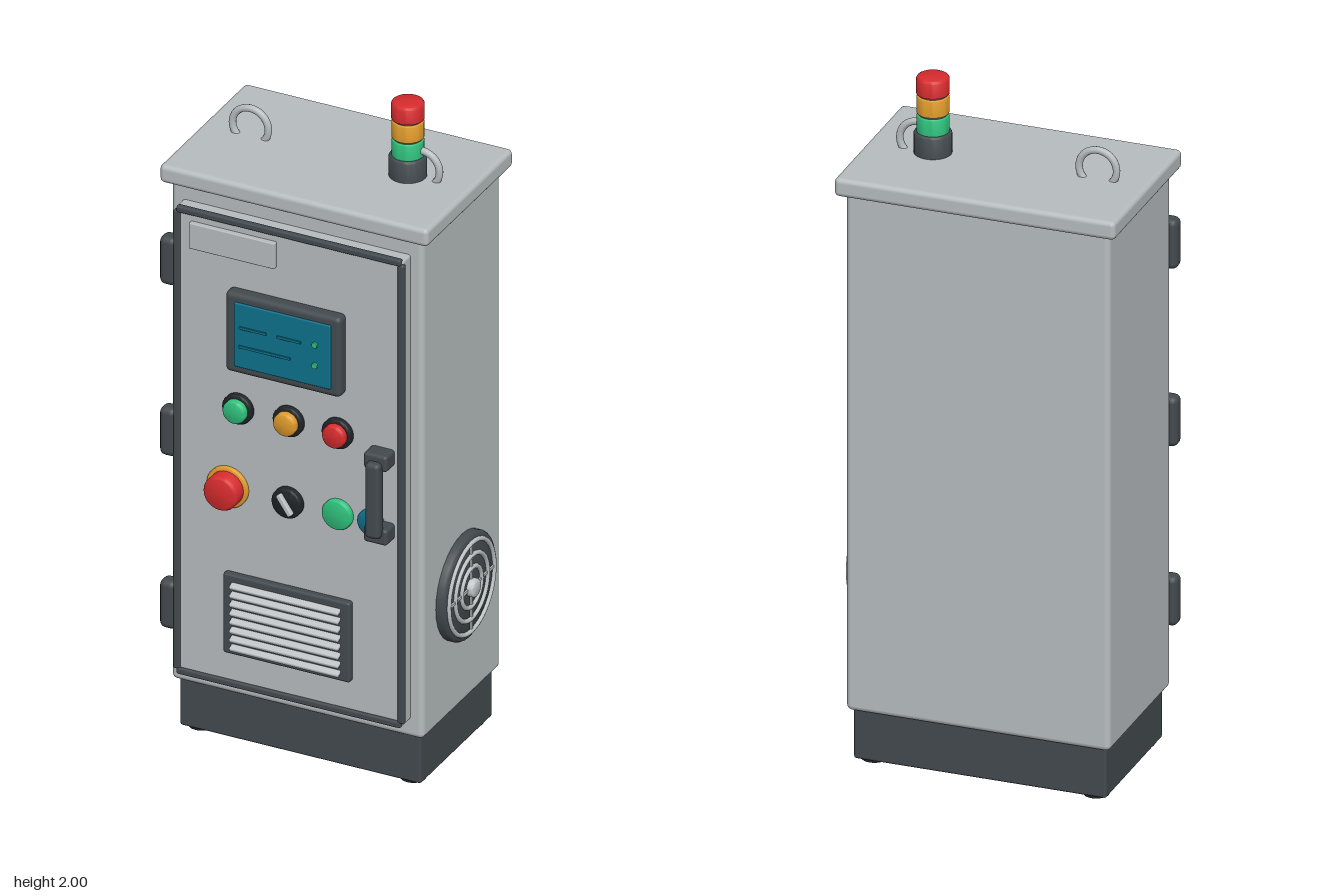
import * as THREE from 'three';
import { RoundedBoxGeometry } from 'three/addons/geometries/RoundedBoxGeometry.js';
import { toCreasedNormals } from 'three/addons/utils/BufferGeometryUtils.js';

const paint = (name, color) => {
  const m = new THREE.MeshStandardMaterial({ color });
  m.name = name;
  return m;
};

export function createModel() {
  const shell = paint('light grey enamel', 0xb7bdbf);
  const dark = paint('dark slate', 0x434a4e);
  const black = paint('black', 0x1f2326);
  const red = paint('red', 0xd62b2e);
  const amber = paint('amber', 0xdd9a2b);
  const green = paint('green', 0x2fc07c);
  const teal = paint('teal', 0x0e728c);
  const steel = paint('steel', 0xc0c4c6);

  const model = new THREE.Group();
  model.name = 'controlCabinet';

  const add = (name, geometry, material, parent = model) => {
    const mesh = new THREE.Mesh(geometry, material);
    mesh.name = name;
    parent.add(mesh);
    return mesh;
  };
  const section = (name) => {
    const g = new THREE.Group();
    g.name = name;
    model.add(g);
    return g;
  };
  // Rounded box given by its extents
  const box = (name, mat, [x0, x1], [y0, y1], [z0, z1], r, parent) => {
    const g = new RoundedBoxGeometry(x1 - x0, y1 - y0, z1 - z0, 2, r);
    g.translate((x0 + x1) / 2, (y0 + y1) / 2, (z0 + z1) / 2);
    return add(name, g, mat, parent);
  };
  // Chamfered disc along y, z or x, growing from its base point
  const disc = (name, mat, axis, pos, r, h, bevel, parent) => {
    const pts = [[0, 0], [r, 0], [r, h - bevel], [r - bevel * 0.35, h - bevel * 0.35], [r - bevel, h], [0, h]];
    let g = new THREE.LatheGeometry(pts.map((p) => new THREE.Vector2(...p)), 32);
    g = toCreasedNormals(g, 0.6);
    if (axis === 'z') g.rotateX(Math.PI / 2);
    if (axis === 'x') g.rotateZ(-Math.PI / 2);
    g.translate(...pos);
    return add(name, g, mat, parent);
  };

  // Housing
  box('plinth', dark, [-0.38, 0.36], [0.008, 0.17], [-0.262, 0.172], 0.008);
  box('body', shell, [-0.397, 0.376], [0.158, 1.725], [-0.28, 0.19], 0.016);
  box('roof', shell, [-0.423, 0.4], [1.715, 1.77], [-0.31, 0.212], 0.014);

  // Feet and cable entries under the plinth
  const underside = section('underside');
  for (const x of [-0.335, 0.315])
    for (const z of [-0.218, 0.128]) disc('foot', black, 'y', [x, 0, z], 0.036, 0.012, 0.001, underside);
  for (let i = 0; i < 4; i++)
    disc('cableEntry', black, 'y', [-0.243 + i * 0.155, 0.004, -0.03], 0.028, 0.006, 0.001, underside);

  // Door with raised seal
  const door = section('door');
  box('doorPanel', shell, [-0.36, 0.338], [0.215, 1.67], [0.185, 0.235], 0.008, door);
  for (const x of [-0.365, 0.323]) box('sealUpright', dark, [x, x + 0.02], [0.225, 1.66], [0.225, 0.243], 0.006, door);
  for (const y of [0.21, 1.655]) box('sealRail', dark, [-0.355, 0.333], [y, y + 0.02], [0.225, 0.244], 0.006, door);
  box('namePlate', shell, [-0.313, -0.05], [1.555, 1.635], [0.23, 0.25], 0.003, door);

  // Hinges
  for (const y of [0.41, 0.95, 1.485])
    box('hinge', dark, [-0.414, -0.363], [y - 0.075, y + 0.075], [0.185, 0.235], 0.018, door);

  // Display
  const display = section('display');
  box('bezel', dark, [-0.19, 0.165], [1.215, 1.465], [0.23, 0.275], 0.015, display);
  box('screen', teal, [-0.16, 0.137], [1.24, 1.44], [0.268, 0.28], 0.004, display);
  for (const [x0, x1, y] of [[-0.142, -0.058, 1.366], [-0.026, 0.047, 1.366], [-0.142, 0.015, 1.307]])
    box('readoutLine', teal, [x0, x1], [y - 0.004, y + 0.004], [0.278, 0.284], 0.001, display);
  for (const y of [1.37, 1.305]) disc('statusDot', green, 'z', [0.09, y, 0.277], 0.009, 0.009, 0.002, display);

  // Push buttons, lamps, selector and emergency stop
  const controls = section('controls');
  [[-0.165, green], [-0.01, amber], [0.14, red]].forEach(([x, mat]) => {
    disc('buttonCollar', black, 'z', [x, 1.087, 0.23], 0.046, 0.022, 0.005, controls);
    disc('buttonCap', mat, 'z', [x, 1.087, 0.245], 0.035, 0.027, 0.006, controls);
  });
  disc('stopCollar', amber, 'z', [-0.198, 0.833, 0.23], 0.063, 0.016, 0.003, controls);
  disc('stopButton', red, 'z', [-0.198, 0.833, 0.24], 0.052, 0.05, 0.008, controls);
  disc('selectorBase', black, 'z', [-0.012, 0.833, 0.23], 0.046, 0.025, 0.005, controls);
  const lever = add('selectorLever', new RoundedBoxGeometry(0.016, 0.068, 0.018, 2, 0.004), steel, controls);
  lever.position.set(-0.012, 0.833, 0.26);
  lever.rotation.z = 0.6;
  disc('greenLamp', green, 'z', [0.14, 0.833, 0.23], 0.046, 0.022, 0.006, controls);
  disc('blueLamp', teal, 'z', [0.242, 0.833, 0.23], 0.04, 0.02, 0.005, controls);

  // Door handle
  const handle = section('handle');
  for (const y of [0.82, 1.05]) box('handleMount', dark, [0.24, 0.313], [y - 0.025, y + 0.025], [0.23, 0.286], 0.01, handle);
  box('grip', dark, [0.254, 0.299], [0.82, 1.055], [0.27, 0.308], 0.013, handle);

  // Louvred vent
  const vent = section('vent');
  box('ventPanel', dark, [-0.206, 0.184], [0.32, 0.57], [0.23, 0.255], 0.008, vent);
  for (let i = 0; i < 8; i++) {
    const slat = add('slat', new RoundedBoxGeometry(0.335, 0.012, 0.022, 2, 0.004), steel, vent);
    slat.position.set(-0.011, 0.347 + i * 0.0275, 0.262);
    slat.rotation.x = 0.35;
  }

  // Side fan with guard rings and spokes
  const fan = section('fan');
  disc('fanHousing', dark, 'x', [0.37, 0.53, -0.046], 0.159, 0.033, 0.008, fan);
  for (const r of [0.137, 0.098, 0.06]) {
    const ring = add('guardRing', new THREE.TorusGeometry(r, 0.007, 8, 40), steel, fan);
    ring.position.set(0.405, 0.53, -0.046);
    ring.rotation.y = Math.PI / 2;
  }
  for (let i = 0; i < 2; i++) {
    const spoke = add('guardSpoke', new THREE.BoxGeometry(0.008, 0.275, 0.008), steel, fan);
    spoke.position.set(0.404, 0.53, -0.046);
    spoke.rotation.x = i * Math.PI / 2;
  }
  disc('fanHub', steel, 'x', [0.395, 0.53, -0.046], 0.027, 0.028, 0.005, fan);

  // Lifting eyes
  for (const x of [-0.275, 0.25]) {
    const eye = add('liftingEye', new THREE.TorusGeometry(0.055, 0.0105, 10, 36), shell);
    eye.position.set(x, 1.8, -0.05);
  }

  // Signal tower
  const tower = section('signalTower');
  const at = (y) => [0.208, y, -0.05];
  disc('towerBase', dark, 'y', at(1.765), 0.053, 0.07, 0.006, tower);
  disc('towerCore', dark, 'y', at(1.83), 0.04, 0.13, 0.002, tower);
  disc('greenLight', green, 'y', at(1.833), 0.045, 0.052, 0.004, tower);
  disc('amberLight', amber, 'y', at(1.891), 0.045, 0.052, 0.004, tower);
  disc('redLight', red, 'y', at(1.949), 0.046, 0.051, 0.007, tower);

  return model;
}
